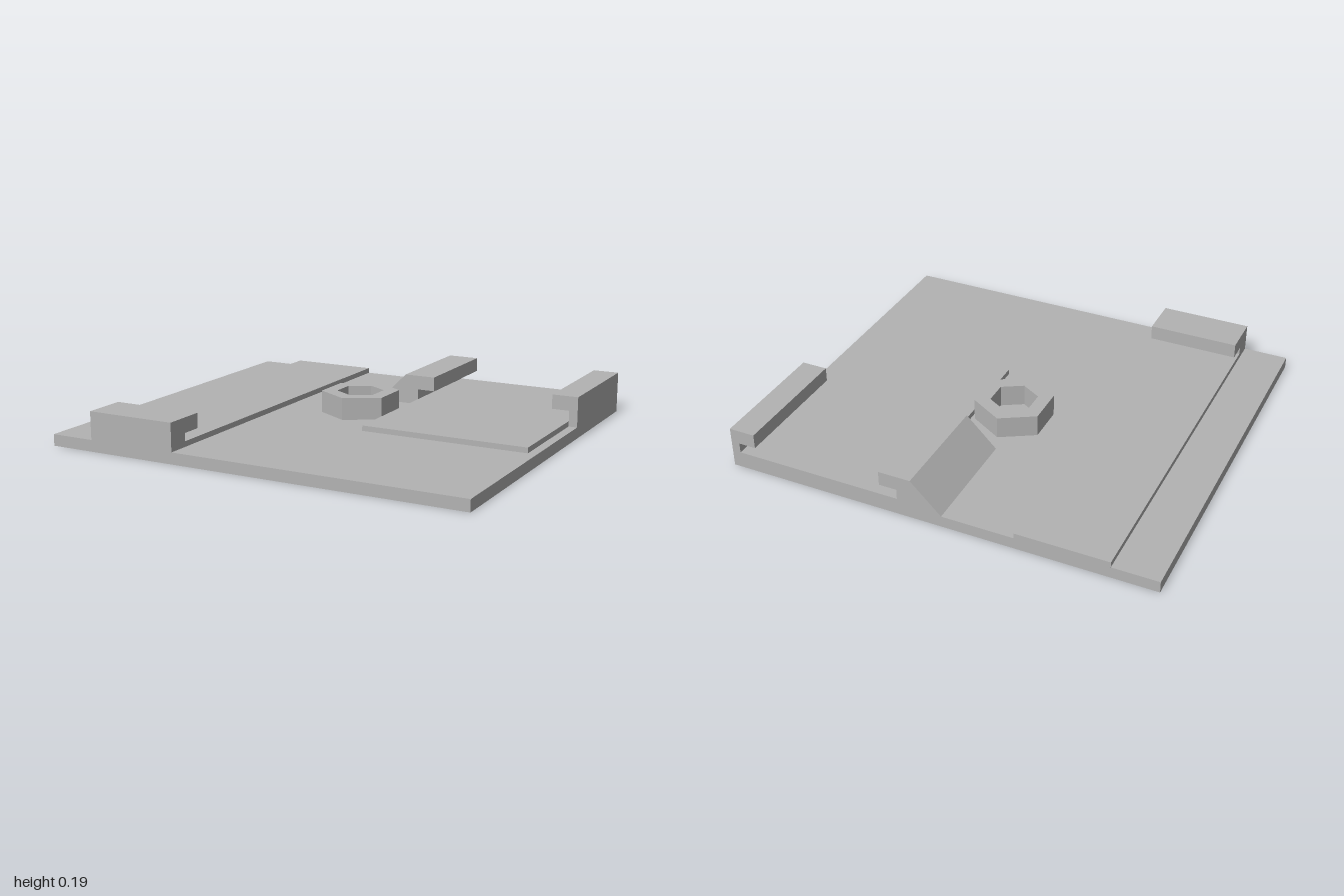
import * as THREE from 'three';

const BASE = 0.053; // base plate thickness
const PAD = 0.078;  // top of the raised strip and pad

export function createModel() {
  const model = new THREE.Group();
  model.name = 'mountingPlate';
  const grey = new THREE.MeshStandardMaterial({ color: 0xb3b3b3 });
  grey.name = 'plain grey';

  const add = (name, geometry) => {
    const mesh = new THREE.Mesh(geometry, grey);
    mesh.name = name;
    model.add(mesh);
    return mesh;
  };
  const outline = (points) => new THREE.Shape(points.map(([x, y]) => new THREE.Vector2(x, y)));
  const extrude = (shape, depth) =>
    new THREE.ExtrudeGeometry(shape, { depth, bevelEnabled: false, curveSegments: 32 });
  const block = (name, x0, x1, y0, y1, z0, z1) =>
    add(name, new THREE.BoxGeometry(x1 - x0, y1 - y0, z1 - z0))
      .position.set((x0 + x1) / 2, (y0 + y1) / 2, (z0 + z1) / 2);
  const hexagon = (radius) => Array.from({ length: 6 }, (_, i) => {
    const a = Math.PI / 2 + i * Math.PI / 3;
    return [radius * Math.cos(a), radius * Math.sin(a)];
  });

  // Base plate with the screw hole
  const plate = outline([[-1, -0.9], [1, -0.9], [1, 0.9], [-1, 0.9]]);
  plate.holes.push(new THREE.Path().absarc(0, 0.11, 0.054, 0, Math.PI * 2, true));
  add('basePlate', extrude(plate, BASE).rotateX(-Math.PI / 2));

  // Raised strip and pad
  block('raisedStrip', -0.79, -0.365, BASE, PAD, -0.9, 0.9);
  block('raisedPad', 0.175, 0.96, BASE, PAD, -0.9, 0.203);

  // Hexagonal nut seat around the hole
  const nut = outline(hexagon(0.182));
  nut.holes.push(outline(hexagon(0.109)));
  add('hexagonalSeat', extrude(nut, 0.103).rotateX(-Math.PI / 2)).position.set(0, BASE, -0.112);

  // Front hook, its profile drawn in z and y and run along x
  const hook = outline([[0.8, PAD], [0.9, PAD], [0.9, 0.182], [0.703, 0.182], [0.703, 0.114], [0.8, 0.114]]);
  add('frontHook', extrude(hook, 0.425).rotateY(-Math.PI / 2)).position.x = -0.365;

  // Two facing rails at the back
  const sideRail = outline([[0.96, BASE], [1, BASE], [1, 0.193], [0.878, 0.193], [0.878, 0.126], [0.96, 0.126]]);
  add('sideRail', extrude(sideRail, 0.592)).position.z = -0.9;

  const slopedRail = outline([[-0.033, BASE], [0.175, BASE], [0.175, 0.126], [0.258, 0.126], [0.258, 0.193], [0.108, 0.193]]);
  add('slopedRail', extrude(slopedRail, 0.525)).position.z = -0.9;

  return model;
}
